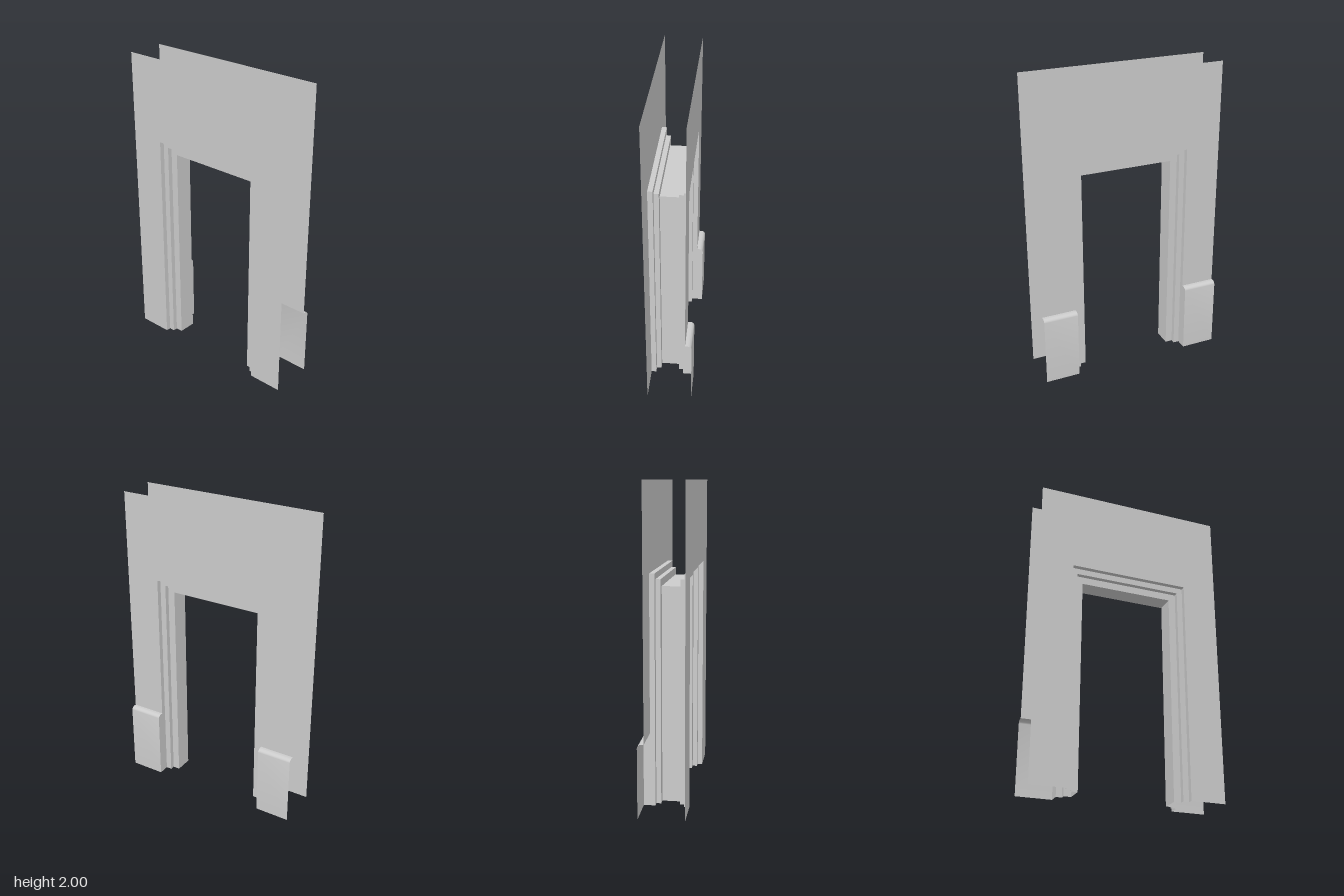
import * as THREE from 'three';
import { toCreasedNormals } from 'three/addons/utils/BufferGeometryUtils.js';

const WIDTH = 0.618, HEIGHT = 2;          // half width and height of the wall
const OPEN = 0.39, RISE = 1.065;          // half width of opening, extra height of its head
const FRONT = 0.143, BACK = -0.102;       // the two wall faces
const SKIRT_TOP = 0.47, SKIRT_Z = -0.143;

// Sheet joining neighbouring rows of points; faces along (within row) x (across rows)
function sheet(rows) {
  const pos = [];
  for (let j = 0; j < rows.length - 1; j++) {
    for (let i = 0; i < rows[j].length - 1; i++) {
      const a = rows[j][i], b = rows[j][i + 1], c = rows[j + 1][i + 1], d = rows[j + 1][i];
      pos.push(...a, ...b, ...c, ...a, ...c, ...d);
    }
  }
  const geo = new THREE.BufferGeometry();
  geo.setAttribute('position', new THREE.Float32BufferAttribute(pos, 3));
  geo.computeVertexNormals();
  return geo;
}

// Wall face with a doorway cut up from its lower edge
function wallFace(bottom) {
  const head = OPEN + RISE;
  const points = [
    [-WIDTH, bottom], [-OPEN, bottom], [-OPEN, head], [OPEN, head],
    [OPEN, bottom], [WIDTH, bottom], [WIDTH, HEIGHT], [-WIDTH, HEIGHT],
  ].map(([x, y]) => new THREE.Vector2(x, y));
  return new THREE.ShapeGeometry(new THREE.Shape(points));
}

export function createModel() {
  const group = new THREE.Group();
  const material = new THREE.MeshStandardMaterial({ color: 0xcccccc, side: THREE.DoubleSide });
  const add = (name, geo) => {
    const mesh = new THREE.Mesh(geo, material);
    mesh.name = name;
    group.add(mesh);
    return mesh;
  };

  // Front and back wall faces
  add('frontWall', wallFace(0)).position.z = FRONT;
  add('backWall', wallFace(SKIRT_TOP).rotateY(Math.PI)).position.z = BACK;

  // Stepped door lining: (half width, z) profile carried up, across and down
  const lining = [
    [OPEN, FRONT], [OPEN, 0.111], [0.352, 0.111], [0.352, 0.08], [0.305, 0.08],
    [0.305, -0.039], [0.352, -0.039], [0.352, -0.07], [OPEN, -0.07], [OPEN, BACK],
  ];
  const path = [[-1, 0], [-1, 1], [1, 1], [1, 0]];
  add('doorLining', sheet(path.map(([side, up]) =>
    lining.map(([w, z]) => [side * w, up * (w + RISE), z]))));

  // Skirting with a rounded top edge, (z, y) profile
  const r = 0.025;
  const profile = [[BACK, SKIRT_TOP]];
  for (let i = 0; i <= 8; i++) {
    const t = (i / 8) * Math.PI / 2;
    profile.push([SKIRT_Z + r - r * Math.sin(t), SKIRT_TOP - r + r * Math.cos(t)]);
  }
  profile.push([SKIRT_Z, 0]);

  const capShape = new THREE.Shape(
    [...profile, [BACK, 0]].map(([z, y]) => new THREE.Vector2(-z, y)));

  for (const side of [1, -1]) {
    const name = side > 0 ? 'left' : 'right';
    const ends = side > 0 ? [WIDTH, OPEN] : [-OPEN, -WIDTH];
    const rows = ends.map((x) => profile.map(([z, y]) => [x, y, z]));
    add(name + 'Skirting', toCreasedNormals(sheet(rows), Math.PI / 5));

    // End cap beside the doorway
    const cap = add(name + 'SkirtingEnd', new THREE.ShapeGeometry(capShape).rotateY(Math.PI / 2));
    cap.position.x = side * OPEN;
  }
  return group;
}
